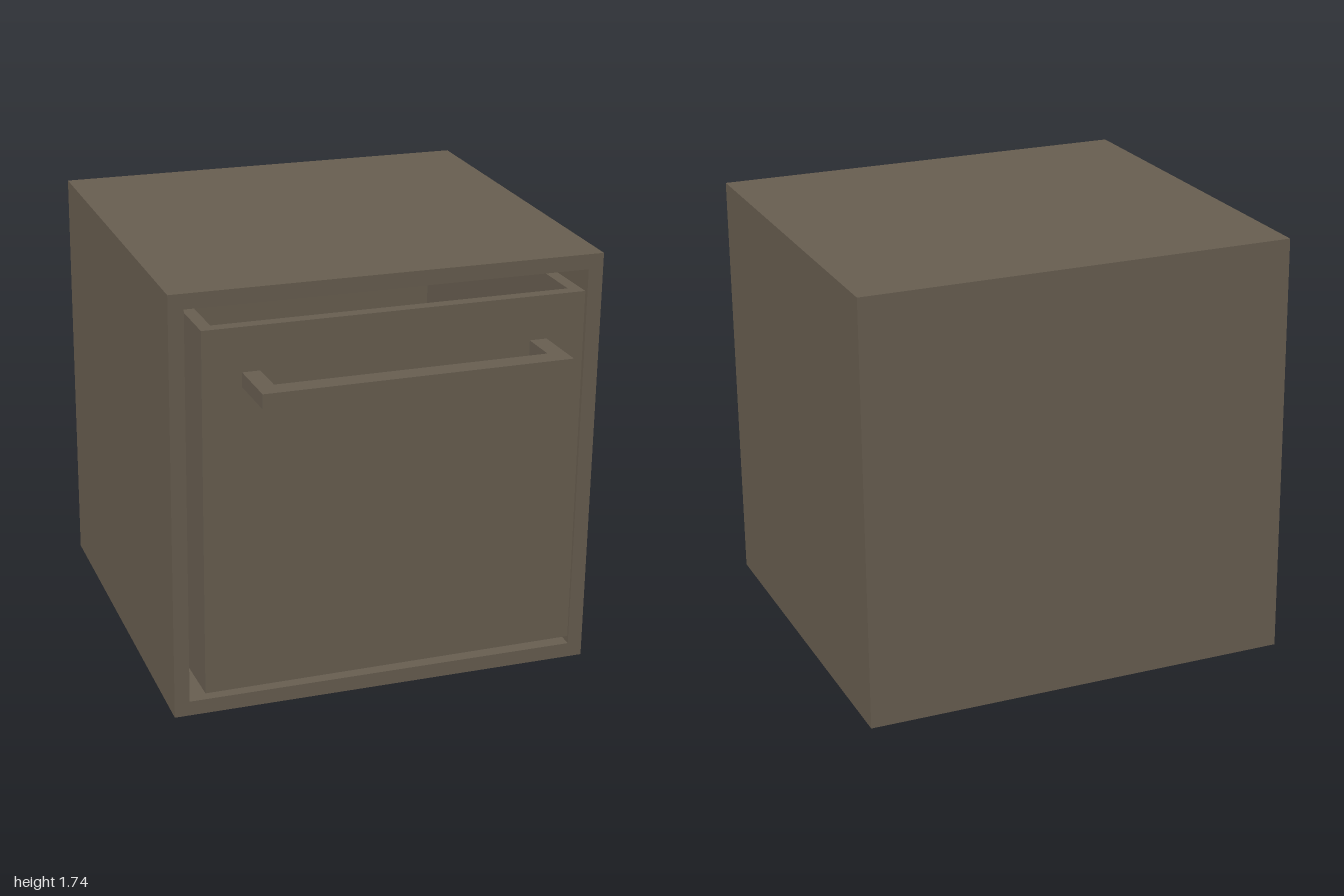
import * as THREE from 'three';

const steel = new THREE.MeshStandardMaterial({ color: 0x685e50 });
steel.name = 'taupe';

function box(parent, name, w, h, d, x, y, z) {
  const mesh = new THREE.Mesh(new THREE.BoxGeometry(w, h, d), steel);
  mesh.name = name;
  mesh.position.set(x, y, z);
  parent.add(mesh);
  return mesh;
}

function rectangle(target, w, h) {
  target.moveTo(-w / 2, -h / 2);
  target.lineTo(w / 2, -h / 2);
  target.lineTo(w / 2, h / 2);
  target.lineTo(-w / 2, h / 2);
  target.closePath();
  return target;
}

// Slightly lower towards the back
function taper(geometry, depth) {
  const p = geometry.attributes.position;
  for (let i = 0; i < p.count; i++) p.setY(i, p.getY(i) * (1 + 0.0146 * p.getZ(i) / depth));
  geometry.computeVertexNormals();
  return geometry;
}

function createCabinet() {
  const cabinet = new THREE.Group();
  cabinet.name = 'cabinet';
  const w = 1.713, h = 1.715, depth = 1.613, wall = 0.06;

  // Four walls as one extruded frame
  const outline = rectangle(new THREE.Shape(), w, h);
  outline.holes.push(rectangle(new THREE.Path(), w - 2 * wall, h - 2 * wall));
  const frame = new THREE.ExtrudeGeometry(outline, { depth: depth - wall, bevelEnabled: false });
  frame.translate(0, 0, wall - depth);
  const walls = new THREE.Mesh(taper(frame, depth), steel);
  walls.name = 'cabinetWalls';
  cabinet.add(walls);

  // Back panel
  const panel = new THREE.BoxGeometry(w, h, wall);
  panel.translate(0, 0, wall / 2 - depth);
  const back = new THREE.Mesh(taper(panel, depth), steel);
  back.name = 'cabinetBack';
  cabinet.add(back);

  cabinet.position.set(-0.045, 0.86, 0.675);
  cabinet.rotation.set(0.0205, -0.0535, -0.003);
  return cabinet;
}

function createDrawer() {
  const drawer = new THREE.Group();
  drawer.name = 'drawer';
  const w = 1.522, h = 1.46, depth = 1.5, t = 0.05;

  // Open-topped box
  box(drawer, 'drawerFront', w, h, t, 0, 0, -t / 2);
  box(drawer, 'drawerBack', w, h, t, 0, 0, t / 2 - depth);
  box(drawer, 'drawerFloor', w - 2 * t, t, depth - 2 * t, 0, (t - h) / 2, -depth / 2);
  for (const side of [-1, 1]) {
    box(drawer, side > 0 ? 'drawerLeftSide' : 'drawerRightSide',
      t, h, depth - 2 * t, side * (w - t) / 2, 0, -depth / 2);
  }

  // Bar handle on two posts
  const handle = new THREE.Group();
  handle.name = 'handle';
  handle.position.set(0, 0.527, 0);
  box(handle, 'handleBar', 1.215, 0.057, 0.083, 0, 0, 0.2);
  for (const side of [-1, 1]) {
    box(handle, 'handlePost', 0.07, 0.057, 0.16, side * 0.5725, 0, 0.08);
  }
  drawer.add(handle);

  drawer.position.set(-0.036, 0.853, 0.722);
  drawer.rotation.set(0.007, -0.039, -0.007);
  return drawer;
}

export function createModel() {
  const model = new THREE.Group();
  model.name = 'drawerCabinet';
  model.add(createCabinet(), createDrawer());
  return model;
}
